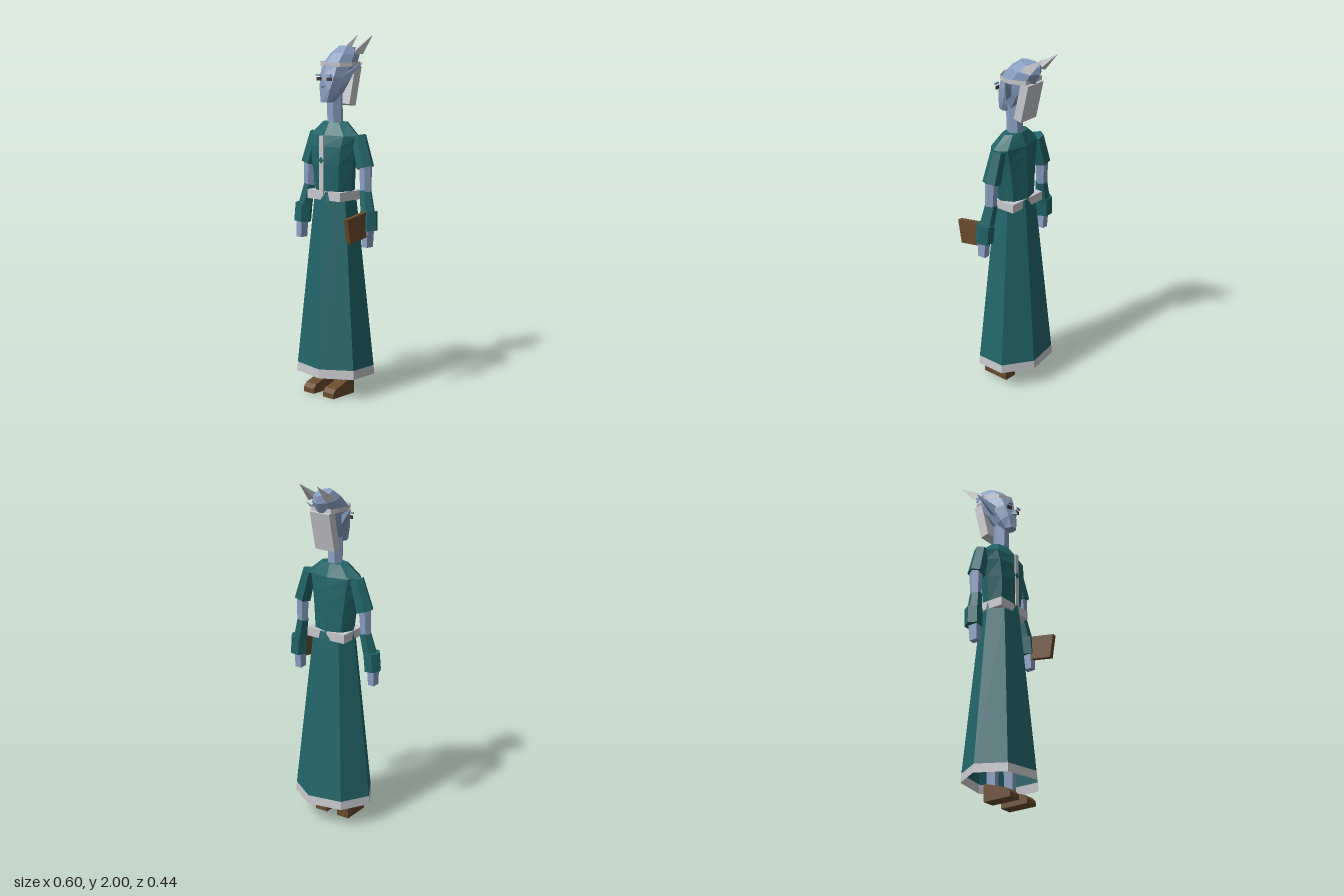
import * as THREE from 'three';
import { ConvexGeometry } from 'three/addons/geometries/ConvexGeometry.js';

const V = (x, y, z) => new THREE.Vector3(x, y, z);
const material = (name, color, side = THREE.FrontSide) => {
  const m = new THREE.MeshStandardMaterial({ color, flatShading: true, side });
  m.name = name;
  return m;
};

// Skin a stack of closed rings, bottom to top, optionally capped
function loft(rings, capped = true) {
  const n = rings[0].length, pos = [];
  const tri = (...pts) => pts.forEach((p) => pos.push(p.x, p.y, p.z));
  for (let r = 0; r < rings.length - 1; r++) {
    for (let i = 0; i < n; i++) {
      const j = (i + 1) % n, lo = rings[r], hi = rings[r + 1];
      tri(lo[i], lo[j], hi[j]);
      tri(lo[i], hi[j], hi[i]);
    }
  }
  const top = rings[rings.length - 1];
  for (let i = 1; capped && i < n - 1; i++) {
    tri(rings[0][0], rings[0][i + 1], rings[0][i]);
    tri(top[0], top[i], top[i + 1]);
  }
  const g = new THREE.BufferGeometry();
  g.setAttribute('position', new THREE.Float32BufferAttribute(pos, 3));
  g.computeVertexNormals();
  return g;
}

// Oval ring between a front point and a back point (each [z, y])
function ring(n, halfWidth, front, back, start = 0) {
  return Array.from({ length: n }, (_, i) => {
    const a = start + (i * 2 * Math.PI) / n, t = (1 + Math.cos(a)) / 2;
    return V(halfWidth * Math.sin(a), back[1] + (front[1] - back[1]) * t, back[0] + (front[0] - back[0]) * t);
  });
}

// Six-sided limb segment from p to q
function limb(p, q, r0, r1 = r0, sides = 6) {
  const d = q.clone().sub(p);
  const g = new THREE.CylinderGeometry(r1, r0, d.length(), sides, 1, false, sides === 4 ? Math.PI / 4 : Math.PI / 2);
  g.applyQuaternion(new THREE.Quaternion().setFromUnitVectors(V(0, 1, 0), d.normalize()));
  const c = p.clone().add(q).multiplyScalar(0.5);
  return g.translate(c.x, c.y, c.z);
}

export function createModel() {
  const model = new THREE.Group();
  model.name = 'robedFigure';
  const skin = material('blueSkin', 0x89a0c4);
  const teal = material('tealCloth', 0x22656a, THREE.DoubleSide);
  const silver = material('silver', 0xc6c7cc, THREE.DoubleSide);
  const brown = material('brownLeather', 0x694a2b);
  const dark = material('darkEyes', 0x43342f);
  const add = (name, geo, mat) => {
    const m = new THREE.Mesh(geo, mat);
    m.name = name;
    model.add(m);
    return m;
  };
  const box = (name, w, h, d, x, y, z, mat) => {
    const m = add(name, new THREE.BoxGeometry(w, h, d), mat);
    m.position.set(x, y, z);
    return m;
  };

  // Seven-sided skirt with a pale hem
  const skirtRing = (y, rx, rz) => ring(7, rx, [0.025 + rz, y], [0.025 - rz, y], -Math.PI / 2);
  add('skirt', loft([skirtRing(0.17, 0.237, 0.196), skirtRing(1.1, 0.13, 0.108), skirtRing(1.15, 0.123, 0.1)], false), teal);
  add('hem', loft([skirtRing(0.12, 0.242, 0.2), skirtRing(0.17, 0.237, 0.196)], false), silver);

  // Square belt whose corners poke out of the skirt
  box('belt', 0.246, 0.05, 0.188, 0, 1.128, 0.026, silver);

  // Bodice: y, half width, front z, back z
  const bodice = [
    [1.13, 0.118, 0.12, -0.07], [1.3, 0.14, 0.134, -0.065], [1.4, 0.158, 0.13, -0.06],
    [1.46, 0.172, 0.115, -0.055], [1.53, 0.085, 0.075, -0.028],
  ];
  add('bodice', loft(bodice.map(([y, w, f, b]) => ring(8, w, [f, y], [b, y]))), teal);

  // Front trim with a small cloth knot
  box('frontTrim', 0.03, 0.32, 0.006, 0, 1.3, 0.136, silver);
  const knot = box('knot', 0.026, 0.026, 0.006, 0, 1.325, 0.139, teal);
  knot.rotation.z = Math.PI / 4;

  // Neck and tilted long head
  add('neck', limb(V(0, 1.5, 0.025), V(0, 1.7, 0.03), 0.045), skin);
  const head = [
    [0.032, [0.13, 1.64], [0.04, 1.64]], [0.055, [0.128, 1.72], [0, 1.66]],
    [0.075, [0.115, 1.79], [-0.055, 1.74]], [0.078, [0.1, 1.845], [-0.11, 1.81]],
    [0.066, [0.04, 1.905], [-0.15, 1.885]], [0.042, [-0.02, 1.945], [-0.148, 1.925]],
  ];
  add('head', loft(head.map(([w, f, b]) => ring(8, w, f, b))), skin);
  add('nose', new ConvexGeometry([
    V(0, 1.77, 0.115), V(-0.022, 1.725, 0.115), V(0.022, 1.725, 0.115), V(0, 1.728, 0.147), V(0, 1.715, 0.12),
  ]), skin);

  // Thin circlet, open at top and bottom
  const crown = [[0, 0.1], [0.072, 0.065], [0.102, 0], [0.085, -0.06], [0.065, -0.108],
    [-0.065, -0.108], [-0.085, -0.06], [-0.102, 0], [-0.072, 0.065]];
  add('circlet', loft([1.832, 1.856].map((y) => crown.map(([x, z]) => V(x, y, z))), false), silver);

  // Slab of hair hanging at the back
  const hair = box('hair', 0.125, 0.22, 0.052, 0, 1.728, -0.072, silver);
  hair.rotation.x = -0.23;

  for (const [side, s] of [['left', 1], ['right', -1]]) {
    const P = (x, y, z) => V(s * x, y, z);
    // Face and head details
    const eye = box(side + 'Eye', 0.033, 0.018, 0.008, s * 0.038, 1.766, 0.114, dark);
    eye.rotation.y = s * 0.15;
    const brow = box(side + 'Brow', 0.034, 0.009, 0.01, s * 0.038, 1.787, 0.122, skin);
    brow.rotation.y = s * 0.12;
    add(side + 'Ear', new ConvexGeometry([
      P(0.148, 1.858, -0.04), P(0.066, 1.81, -0.015), P(0.055, 1.71, 0.04), P(0.06, 1.77, 0.055), P(0.06, 1.75, -0.005),
    ]), skin);
    add(side + 'Horn', new ConvexGeometry([
      P(0.056, 2.0, -0.222), P(0.036, 1.905, -0.05), P(0.058, 1.9, -0.05), P(0.034, 1.915, -0.135), P(0.06, 1.895, -0.135),
    ]), silver);

    // Arm, sleeve and cuff
    add(side + 'UpperSleeve', limb(P(0.208, 1.29, 0.01), P(0.157, 1.46, 0.005), 0.051, 0.042), teal);
    add(side + 'Arm', limb(P(0.215, 1.13, 0.012), P(0.208, 1.32, 0.008), 0.031, 0.038), skin);
    add(side + 'LowerSleeve', limb(P(0.24, 1.03, 0.022), P(0.21, 1.165, 0.01), 0.042, 0.034), teal);
    add(side + 'Cuff', limb(P(0.252, 0.95, 0.027), P(0.245, 1.055, 0.022), 0.05), teal);
    add(side + 'Hand', limb(P(0.249, 0.86, 0.037), P(0.249, 0.97, 0.033), 0.027, 0.03, 4).scale(1, 1, 1.3).translate(0, 0, -0.01), skin);

    // Leg and wedge shoe
    add(side + 'Leg', limb(P(0.077, 0.06, 0.025), P(0.07, 0.7, 0.025), 0.032, 0.036), skin);
    const profile = [[0, 0], [0.165, 0], [0.165, 0.028], [0.145, 0.05], [-0.005, 0.1], [-0.005, 0]];
    add(side + 'Shoe', new ConvexGeometry(profile.flatMap(([z, y]) => [P(0.036, y, z), P(0.114, y, z)])), brown);
  }

  // Book held in the left hand
  const book = box('book', 0.027, 0.137, 0.18, 0.249, 0.978, 0.113, brown);
  book.rotation.x = 0.17;

  return model;
}
